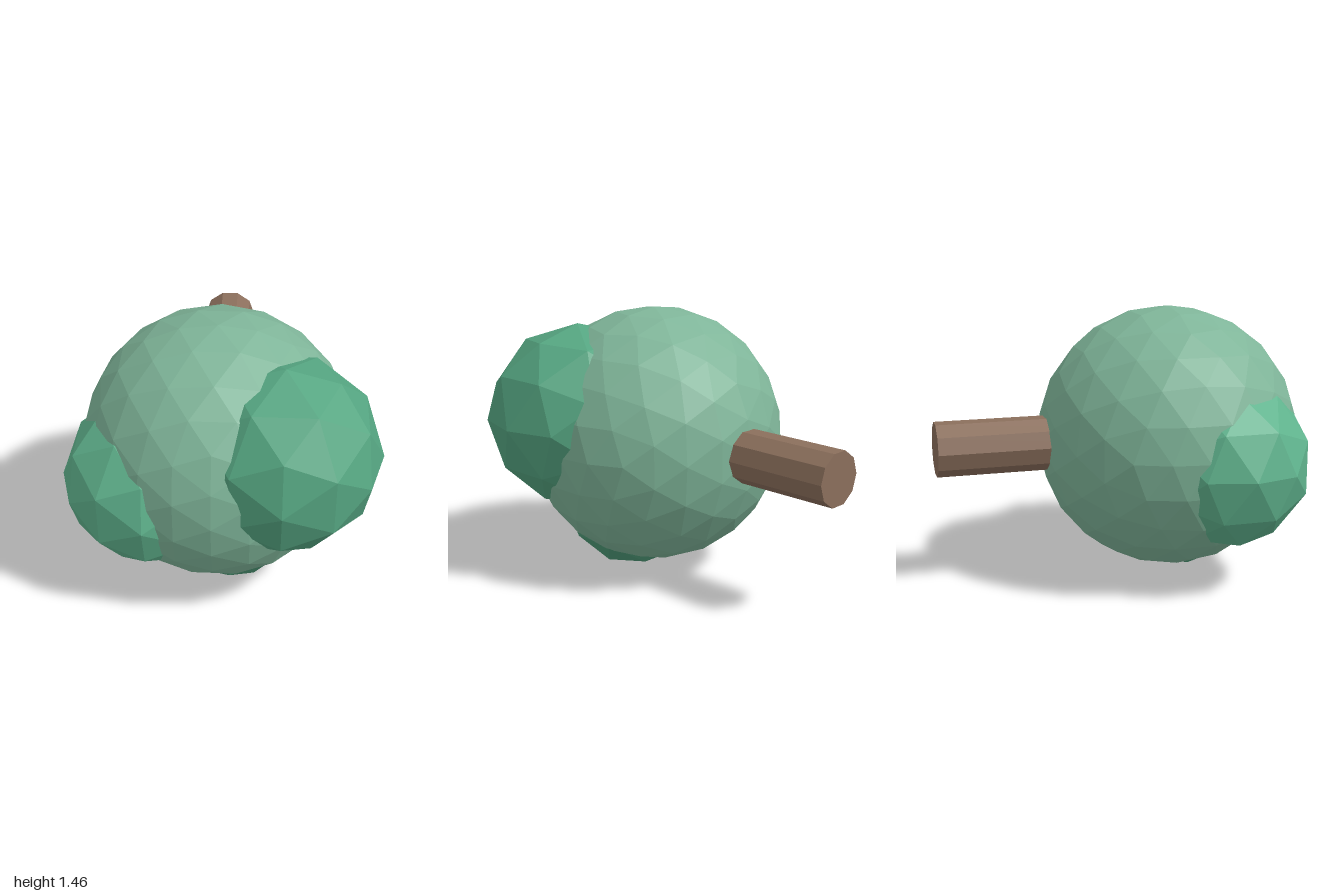
import * as THREE from 'three';

// Faceted ball: an icosahedron whose triangles are split in four `levels` times
function facetedBall(radius, levels) {
  const base = new THREE.IcosahedronGeometry(1, 0).attributes.position;
  let points = [];
  for (let i = 0; i < base.count; i++) points.push(new THREE.Vector3().fromBufferAttribute(base, i));
  const middle = (p, q) => p.clone().add(q).normalize();
  for (let level = 0; level < levels; level++) {
    const next = [];
    for (let i = 0; i < points.length; i += 3) {
      const [a, b, c] = points.slice(i, i + 3);
      const ab = middle(a, b), bc = middle(b, c), ca = middle(c, a);
      next.push(a, ab, ca, ab, b, bc, ca, bc, c, ab, bc, ca);
    }
    points = next;
  }
  const geometry = new THREE.BufferGeometry().setFromPoints(points);
  geometry.scale(radius, radius, radius);
  geometry.computeVertexNormals();
  return geometry;
}

export function createModel() {
  const model = new THREE.Group();
  model.name = 'tree';

  const add = (name, geometry, color, position) => {
    const material = new THREE.MeshStandardMaterial({ color, flatShading: true });
    const mesh = new THREE.Mesh(geometry, material);
    mesh.name = name;
    mesh.position.set(...position);
    model.add(mesh);
  };

  // Ten-sided trunk lying along z, running into the crown
  const trunk = new THREE.CylinderGeometry(0.144, 0.144, 1, 10, 1, false, Math.PI / 2);
  trunk.rotateX(Math.PI / 2);
  add('trunk', trunk, 0x8b6f5c, [-0.023, 0.756, -0.5]);

  // Large crown and the three smaller leaf clumps set into it
  add('crown', facetedBall(0.7, 2), 0x7fb599, [-0.023, 0.758, 0.253]);
  add('leftLeafClump', facetedBall(0.5, 1), 0x55a581, [0.31, 0.88, 0.5]);
  add('rightLeafClump', facetedBall(0.45, 1), 0x60b48e, [-0.36, 0.67, 0.46]);
  add('lowerLeafClump', facetedBall(0.4, 1), 0x4f9c79, [0.055, 0.4, 0.335]);

  return model;
}
